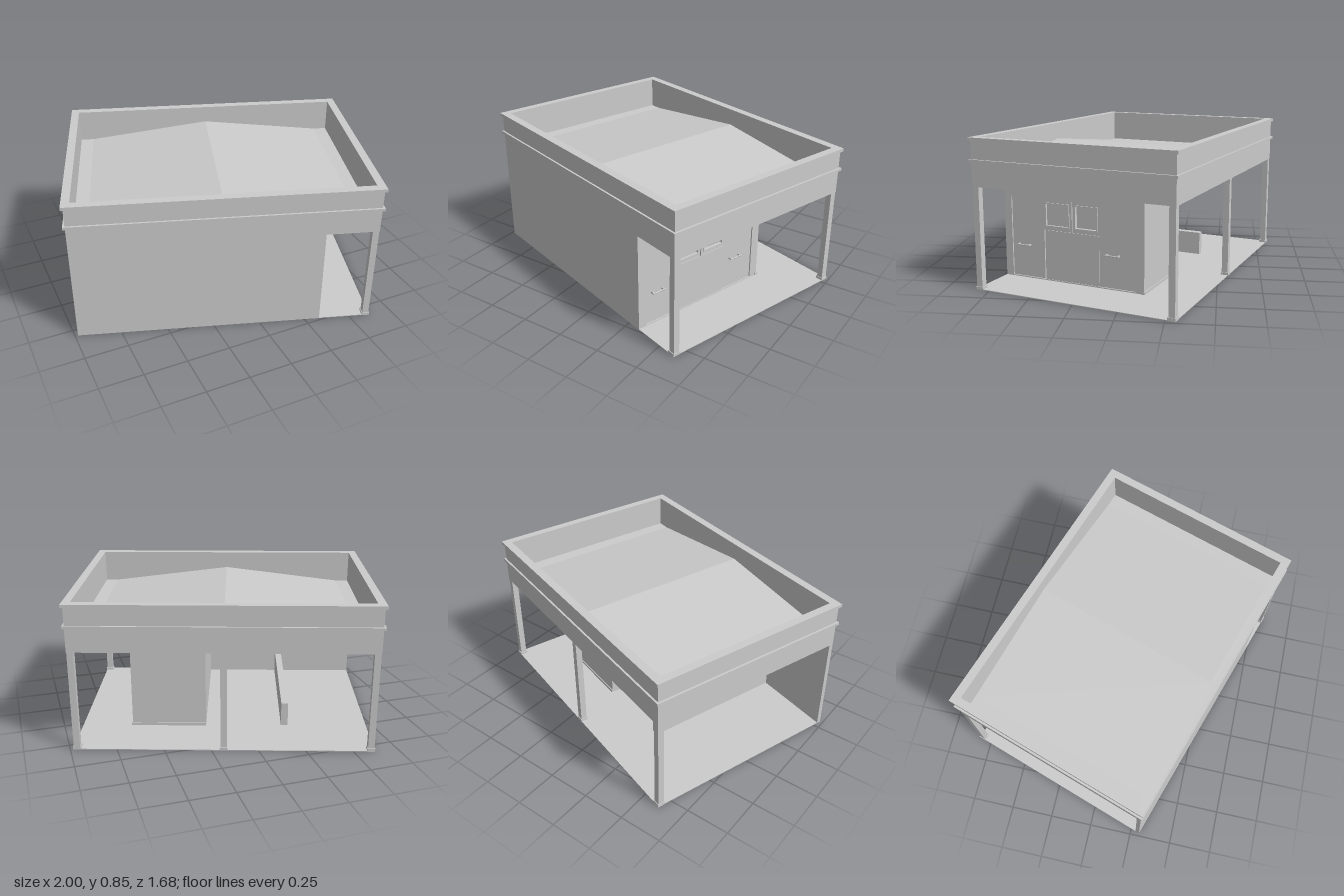
import * as THREE from 'three';

const material = new THREE.MeshStandardMaterial({ color: 0xcccccc, side: THREE.DoubleSide });

const HU = 0.84, HW = 0.595;   // half length and half width of the building
const IU = 0.806, IW = 0.558;  // inner faces of the parapet
const BEAM = 0.58, TOP = 0.85; // underside of the beams, top of the parapet
const ROOM = { u0: 0.11, u1: 0.545, w0: -0.294, w1: HW };

function add(parent, name, geometry) {
  const mesh = new THREE.Mesh(geometry, material);
  mesh.name = name;
  parent.add(mesh);
  return mesh;
}

// Box given by its limits on each axis
function box(parent, name, x0, x1, y0, y1, z0, z1) {
  const mesh = add(parent, name, new THREE.BoxGeometry(x1 - x0, y1 - y0, z1 - z0));
  mesh.position.set((x0 + x1) / 2, (y0 + y1) / 2, (z0 + z1) / 2);
  return mesh;
}

function rect(Type, x0, x1, y0, y1) {
  return new Type([[x0, y0], [x1, y0], [x1, y1], [x0, y1]].map(([x, y]) => new THREE.Vector2(x, y)));
}

// Horizontal rectangular ring
function ring(parent, name, ou, ow, iu, iw, y0, y1) {
  const shape = rect(THREE.Shape, -ou, ou, -ow, ow);
  shape.holes.push(rect(THREE.Path, -iu, iu, -iw, iw));
  const geometry = new THREE.ExtrudeGeometry(shape, { depth: y1 - y0, bevelEnabled: false });
  geometry.rotateX(-Math.PI / 2);
  const mesh = add(parent, name, geometry);
  mesh.position.y = y0;
  return mesh;
}

// Upright panel across the building with holes [w0, w1, y0, y1]; its front is at u
function panel(parent, name, u, depth, outline, holes) {
  const shape = rect(THREE.Shape, ...outline);
  holes.forEach((h) => shape.holes.push(rect(THREE.Path, ...h)));
  const geometry = new THREE.ExtrudeGeometry(shape, { depth, bevelEnabled: false });
  geometry.rotateY(-Math.PI / 2);
  const mesh = add(parent, name, geometry);
  mesh.position.x = u;
  return mesh;
}

function createRoof() {
  const g = new THREE.Group();
  g.name = 'roof';
  ring(g, 'parapet', HU, HW, IU, IW, BEAM, TOP - 0.005);
  ring(g, 'lowerCornice', HU + 0.012, HW + 0.011, HU - 0.01, HW - 0.01, 0.715, 0.731);
  ring(g, 'parapetCap', HU + 0.012, HW + 0.011, IU, IW, 0.832, TOP);
  // Shallow double pitch with a gutter at each end
  const profile = [[-IU, BEAM], [IU, BEAM], [IU, 0.66], [0.73, 0.66], [0, 0.75], [-0.73, 0.66], [-IU, 0.66]];
  const shape = new THREE.Shape(profile.map(([x, y]) => new THREE.Vector2(x, y)));
  const deck = add(g, 'roofDeck', new THREE.ExtrudeGeometry(shape, { depth: 2 * IW, bevelEnabled: false }));
  deck.position.z = -IW;
  // Square ceiling lamps
  for (const [u, w] of [[0.34, -0.454], [-0.294, -0.09], [0.675, 0.124]]) {
    ring(g, 'lampFrame', 0.045, 0.045, 0.036, 0.036, 0, 0.008).position.set(u, BEAM - 0.005, w);
    box(g, 'lampGlass', u - 0.036, u + 0.036, BEAM - 0.002, BEAM, w - 0.036, w + 0.036);
  }
  return g;
}

function createColumn(u, w) {
  const g = new THREE.Group();
  g.name = 'column';
  box(g, 'shaft', -0.018, 0.018, 0, BEAM, -0.018, 0.018);
  box(g, 'foot', -0.022, 0.022, 0, 0.018, -0.022, 0.022);
  g.position.set(u, 0, w);
  return g;
}

function createRoom() {
  const g = new THREE.Group();
  g.name = 'room';
  const { u0, u1, w0, w1 } = ROOM;
  const t = 0.025;
  const windows = [[0.17, 0.327, 0.32, 0.46], [-0.01, 0.138, 0.32, 0.46]];

  // Walls, with a large opening in the front one
  panel(g, 'frontWall', u1, t, [w0, w1, 0, BEAM], [[-0.241, 0.548, 0.01, 0.48]]);
  box(g, 'backWall', u0, u0 + t, 0, BEAM, w0, w1 - 0.02);
  box(g, 'sideWall', u0, u1 - t, 0, BEAM, w0, w0 + t);
  box(g, 'sidePlinth', u0, u1 + 0.005, 0, 0.02, w0 - 0.005, w0 + 0.01);

  // Shop front: middle part with two windows over a counter panel
  panel(g, 'windowSurround', u1 - 0.008, 0.015, [-0.02, 0.327 + 0.008, 0.3, 0.48], windows);
  box(g, 'counterPanel', u1 - 0.02, u1 - 0.004, 0.01, 0.3, -0.02, 0.327);
  box(g, 'windowPost', u1 - 0.02, u1, 0.3, 0.48, 0.15, 0.157);
  for (const [a, b, y0, y1] of windows) {
    const f = 0.008;
    panel(g, 'windowFrame', u1 - 0.002, 0.02, [a, b, y0, y1], [[a + f, b - f, y0 + f, y1 - f]]);
  }
  const [a, b, y0, y1] = windows[0];
  box(g, 'windowPane', u1 - 0.018, u1 - 0.015, y0, y1, a, b);

  // A door with a bar handle at each side
  for (const [d0, d1, h] of [[0.335, 0.548, 0.465], [-0.241, -0.02, -0.105]]) {
    box(g, 'door', u1 - 0.02, u1 - 0.008, 0.01, 0.48, d0, d1);
    const bar = add(g, 'doorHandle', new THREE.CylinderGeometry(0.004, 0.004, 0.085, 8));
    bar.rotation.x = Math.PI / 2;
    bar.position.set(u1 + 0.012, 0.2, h);
    for (const s of [-1, 1]) {
      box(g, 'handleMount', u1 - 0.01, u1 + 0.014, 0.195, 0.205, h + s * 0.035 - 0.004, h + s * 0.035 + 0.004);
    }
  }
  return g;
}

export function createModel() {
  const model = new THREE.Group();
  model.name = 'pavilion';
  const building = new THREE.Group();
  building.name = 'building';
  building.rotation.y = -0.317;
  model.add(building);

  box(building, 'floor', -HU, HU, 0, 0.004, -HW, HW);
  box(building, 'longWall', -HU, ROOM.u1, 0, BEAM, IW + 0.012, HW);
  box(building, 'lowWall', -0.375, -0.335, 0, 0.145, -0.285, IW + 0.012);

  const cu = HU - 0.02, cw = HW - 0.02;
  for (const [u, w] of [[cu, cw], [cu, -cw], [0, -cw], [-cu, -cw]]) {
    building.add(createColumn(u, w));
  }
  building.add(createRoom(), createRoof());
  return model;
}
